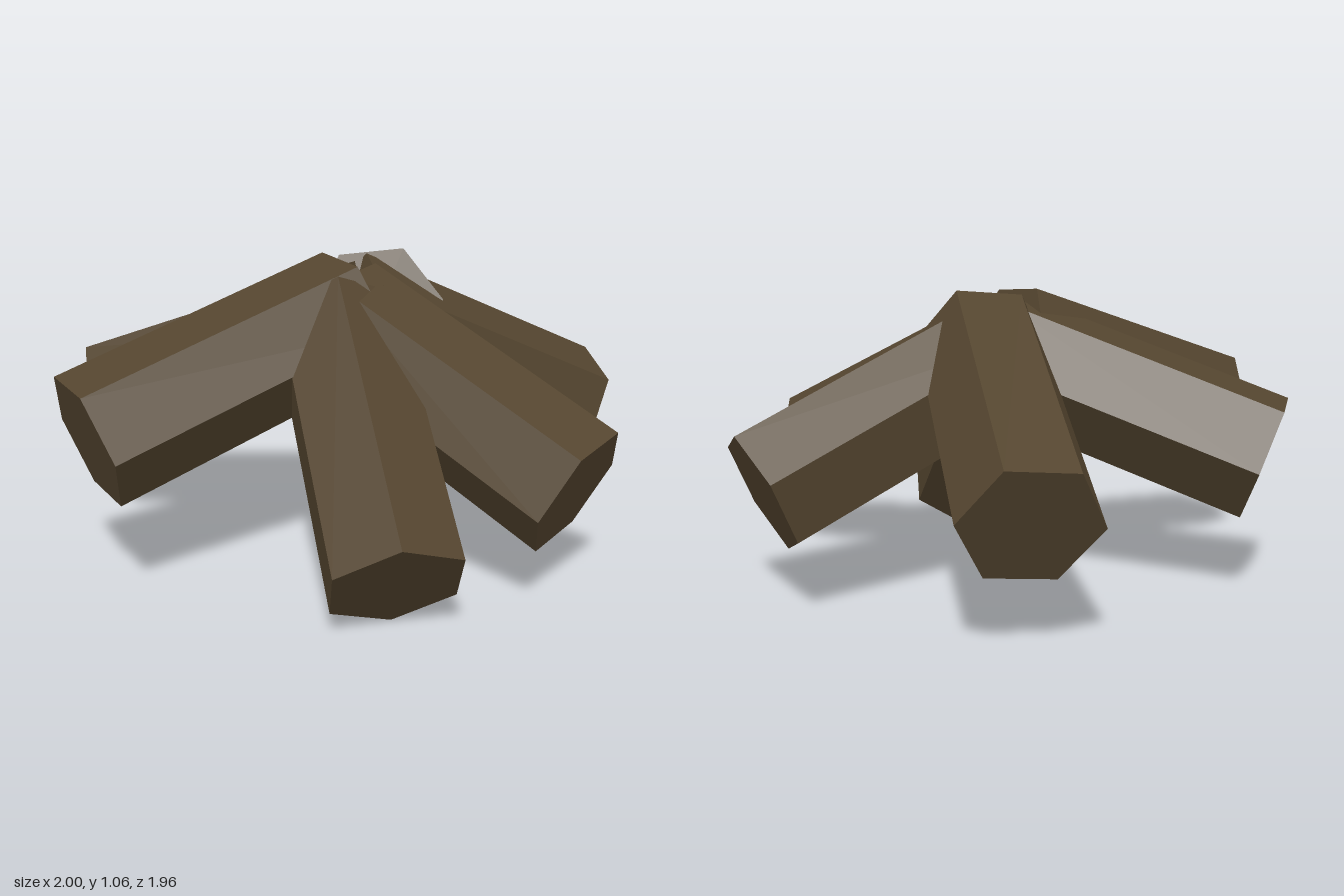
import * as THREE from 'three';

const LENGTH = 1.045;
const RADIUS = 0.235;

// Each log: centre of its outer end, direction towards the middle of the pile,
// and the direction of one hexagon corner (sets the roll about the axis).
const LOGS = [
  { name: 'backRightLog', end: [-0.355, 0.416, -0.85], axis: [0.42, 0.434, 0.797], corner: [0.045, 0.191, -0.13] },
  { name: 'backLeftLog', end: [0.653, 0.4, -0.631], axis: [-0.645, 0.42, 0.637], corner: [0.042, 0.206, -0.094] },
  { name: 'leftLog', end: [0.885, 0.386, 0.313], axis: [-0.875, 0.428, -0.226], corner: [0.115, 0.191, -0.056] },
  { name: 'frontLeftLog', end: [0.4385, 0.184, 0.788], axis: [-0.445, 0.63, -0.637], corner: [-0.204, -0.109, 0.039] },
  { name: 'frontRightLog', end: [-0.6, 0.545, 0.84], axis: [0.582, 0.3, -0.75], corner: [-0.19, 0.015, -0.14] },
  { name: 'rightLog', end: [-0.925, 0.48, 0.118], axis: [0.938, 0.342, -0.064], corner: [0.011, 0.017, 0.233] },
];

export function createModel() {
  const group = new THREE.Group();
  group.name = 'logPile';

  const wood = new THREE.MeshStandardMaterial({ color: 0x54452f, flatShading: true });
  wood.name = 'darkWood';

  // Hexagonal log with its outer end at the origin
  const logGeometry = new THREE.CylinderGeometry(RADIUS, RADIUS, LENGTH, 6);
  logGeometry.translate(0, LENGTH / 2, 0);

  for (const { name, end, axis, corner } of LOGS) {
    const y = new THREE.Vector3(...axis).normalize();
    const z = new THREE.Vector3(...corner).projectOnPlane(y).normalize();
    const x = new THREE.Vector3().crossVectors(y, z);
    const log = new THREE.Mesh(logGeometry, wood);
    log.name = name;
    log.quaternion.setFromRotationMatrix(new THREE.Matrix4().makeBasis(x, y, z));
    log.position.set(...end);
    group.add(log);
  }
  return group;
}
